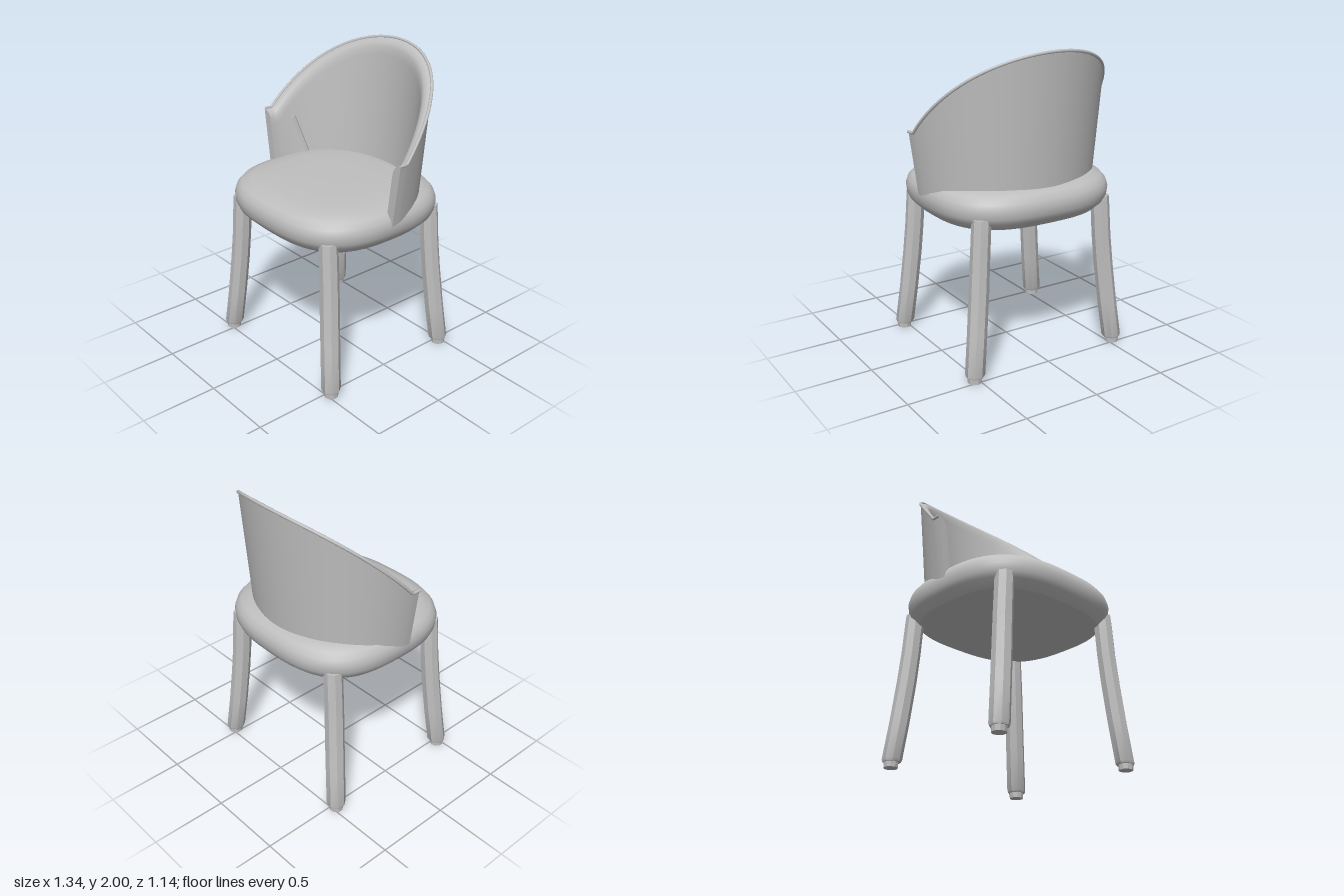
import * as THREE from 'three';
import { toCreasedNormals } from 'three/addons/utils/BufferGeometryUtils.js';

// Skin closed rings of [x, y, z] points, with flat or domed end caps
function loft(rings, crease, topCentre) {
  const n = rings[0].length, pos = rings.flat(2), idx = [];
  for (let i = 0; i < rings.length - 1; i++) {
    for (let j = 0; j < n; j++) {
      const k = (j + 1) % n, a = i * n + j, b = i * n + k;
      idx.push(a, b, b + n, a, b + n, a + n);
    }
  }
  const mean = (r) => [0, 1, 2].map((c) => r.reduce((s, p) => s + p[c], 0) / n);
  const last = (rings.length - 1) * n, c0 = rings.length * n;
  pos.push(...mean(rings[0]), ...(topCentre || mean(rings[rings.length - 1])));
  for (let j = 0; j < n; j++) {
    const k = (j + 1) % n;
    idx.push(c0, k, j, c0 + 1, last + j, last + k);
  }
  const g = new THREE.BufferGeometry();
  g.setAttribute('position', new THREE.Float32BufferAttribute(pos, 3));
  g.setIndex(idx);
  return toCreasedNormals(g, crease);
}

export function createModel() {
  const group = new THREE.Group();
  const grey = new THREE.MeshStandardMaterial({ color: 0xbfbfbf });
  grey.name = 'grey';
  const add = (name, geometry, parent = group) => {
    const m = new THREE.Mesh(geometry, grey);
    m.name = name;
    parent.add(m);
    return m;
  };

  // Seat cushion: rounded-square outline with a pillow edge, [inset, y]
  const seatProfile = [[0.07, 0.937], [0.02, 0.985], [0.005, 1.02], [0, 1.07], [0.012, 1.11],
    [0.04, 1.145], [0.1, 1.167], [0.2, 1.178], [0.35, 1.182]];
  const pow = (v) => Math.sign(v) * Math.abs(v) ** (2 / 2.8);
  add('seat', loft(seatProfile.map(([d, y]) => Array.from({ length: 64 }, (_, j) => {
    const t = (j / 64) * Math.PI * 2;
    return [(0.605 - d) * pow(Math.cos(t)), y, -(0.572 - d) * pow(Math.sin(t))];
  })), 0.65, [0, 1.184, 0]));

  // Wraparound back: section swept round a half ellipse, rim rising to the rear
  const rimHeight = (t) => {
    const u = Math.max(0, 0.605 * Math.sin(t) - 0.055);
    return 1.475 + 1.122 * u - 0.36 * u * u;
  };
  const shellPoint = (t, y, d) => {
    const s = (y - 1.07) / (rimHeight(t) - 1.07);
    const a = 0.605 + 0.055 * s - d, b = 0.545 + 0.06 * s - d;
    return [a * Math.cos(t), y, 0.06 - b * Math.sin(t)];
  };
  const steps = 72, shell = [], rim = [];
  for (let i = 0; i <= steps; i++) {
    const t = (i / steps) * Math.PI, h = rimHeight(t);
    shell.push([[0.055, 1.07], [0.057, h - 0.1], [0.056, h - 0.05], [0.045, h - 0.022],
      [0.025, h - 0.006], [0, h], [0, 1.07]].map(([d, y]) => shellPoint(t, y, d)));
    rim.push(new THREE.Vector3(...shellPoint(t, h + 0.002, 0)));
  }
  add('backrest', loft(shell, 0.7));

  // Piping along the rim
  add('rimPiping', new THREE.TubeGeometry(new THREE.CatmullRomCurve3(rim), 120, 0.01, 8));

  // Slim slanted ribs inside the arms
  for (const side of [1, -1]) {
    const top = new THREE.Vector3(side * 0.55, 1.42, -0.095);
    const low = new THREE.Vector3(side * 0.48, 1.13, -0.175);
    const rib = add(side > 0 ? 'leftRib' : 'rightRib',
      new THREE.BoxGeometry(0.03, 0.025, top.distanceTo(low)));
    rib.position.copy(top).add(low).multiplyScalar(0.5);
    rib.lookAt(top);
  }

  // Legs: curved eight-sided posts with small feet, [x, y, z, radius]
  const legPath = [[0.528, 0.035, 0.473, 0.056], [0.526, 0.05, 0.472, 0.062], [0.497, 0.3, 0.452, 0.062],
    [0.472, 0.55, 0.435, 0.062], [0.456, 0.75, 0.424, 0.061], [0.442, 0.97, 0.419, 0.06], [0.44, 1.02, 0.418, 0.057]];
  for (const sx of [1, -1]) {
    for (const sz of [1, -1]) {
      const leg = new THREE.Group();
      leg.name = (sz > 0 ? 'front' : 'back') + (sx > 0 ? 'Left' : 'Right') + 'Leg';
      add('post', loft(legPath.map(([x, y, z, r]) => Array.from({ length: 8 }, (_, j) => {
        const t = (j / 8) * Math.PI * 2 + Math.PI / 8 * 0.6;
        return [sx * x + r * Math.cos(t), y, sz * z - r * Math.sin(t)];
      })), 0.5), leg);
      const foot = add('foot', toCreasedNormals(new THREE.CylinderGeometry(0.047, 0.045, 0.05, 10), 0.5), leg);
      foot.position.set(sx * 0.53, 0.025, sz * 0.475);
      group.add(leg);
    }
  }
  return group;
}
